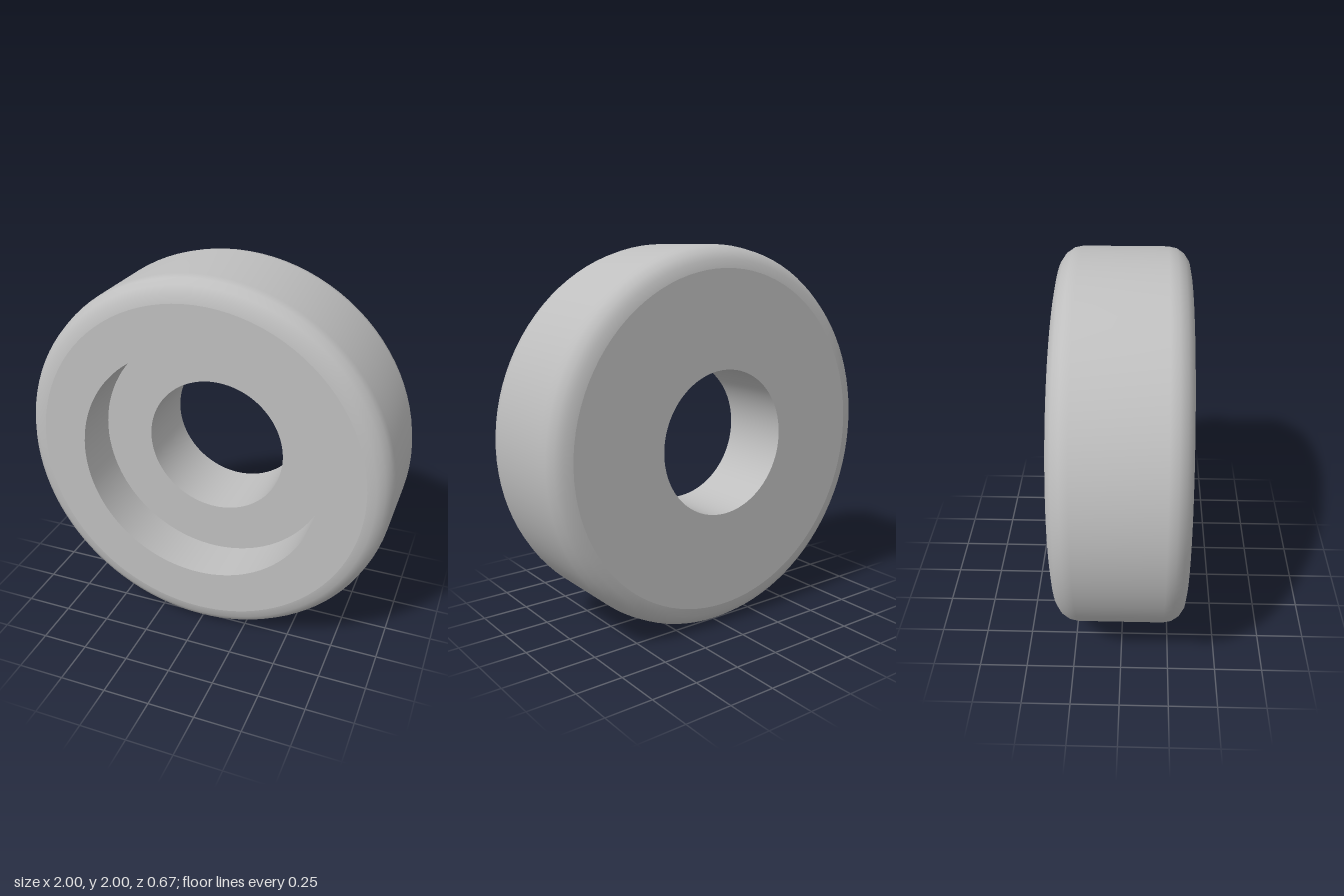
import * as THREE from 'three';

const OUTER = 1, BORE = 0.38, RECESS = 0.647;
const HALF = 0.333, DEPTH = 0.267, FILLET = 0.115;
const SIDES = 96;

export function createModel() {
  const group = new THREE.Group();
  group.name = 'recessedRing';
  const grey = new THREE.MeshStandardMaterial({ color: 0xbfbfbf });
  grey.name = 'grey';

  // Revolves a [radius, z] profile about the z axis; each piece keeps its edges sharp
  const turn = (name, profile) => {
    const points = profile.map(([r, z]) => new THREE.Vector2(r, z));
    const geometry = new THREE.LatheGeometry(points, SIDES);
    geometry.rotateX(Math.PI / 2);
    const mesh = new THREE.Mesh(geometry, grey);
    mesh.name = name;
    mesh.position.y = OUTER;
    group.add(mesh);
  };

  // Outer rim with a rounded edge at the back and at the front
  const rim = [];
  for (const end of [-1, 1]) {
    for (let i = 0; i <= 4; i++) {
      const angle = (end < 0 ? i - 4 : i) * Math.PI / 8;
      rim.push([
        OUTER - FILLET + FILLET * Math.cos(angle),
        end * (HALF - FILLET) + FILLET * Math.sin(angle),
      ]);
    }
  }
  turn('outerRim', rim);

  // Flat faces, stepped recess and through bore
  const floor = HALF - DEPTH;
  turn('frontFace', [[OUTER - FILLET, HALF], [RECESS, HALF]]);
  turn('recessWall', [[RECESS, HALF], [RECESS, floor]]);
  turn('recessFloor', [[RECESS, floor], [BORE, floor]]);
  turn('boreWall', [[BORE, floor], [BORE, -HALF]]);
  turn('backFace', [[BORE, -HALF], [OUTER - FILLET, -HALF]]);

  return group;
}
